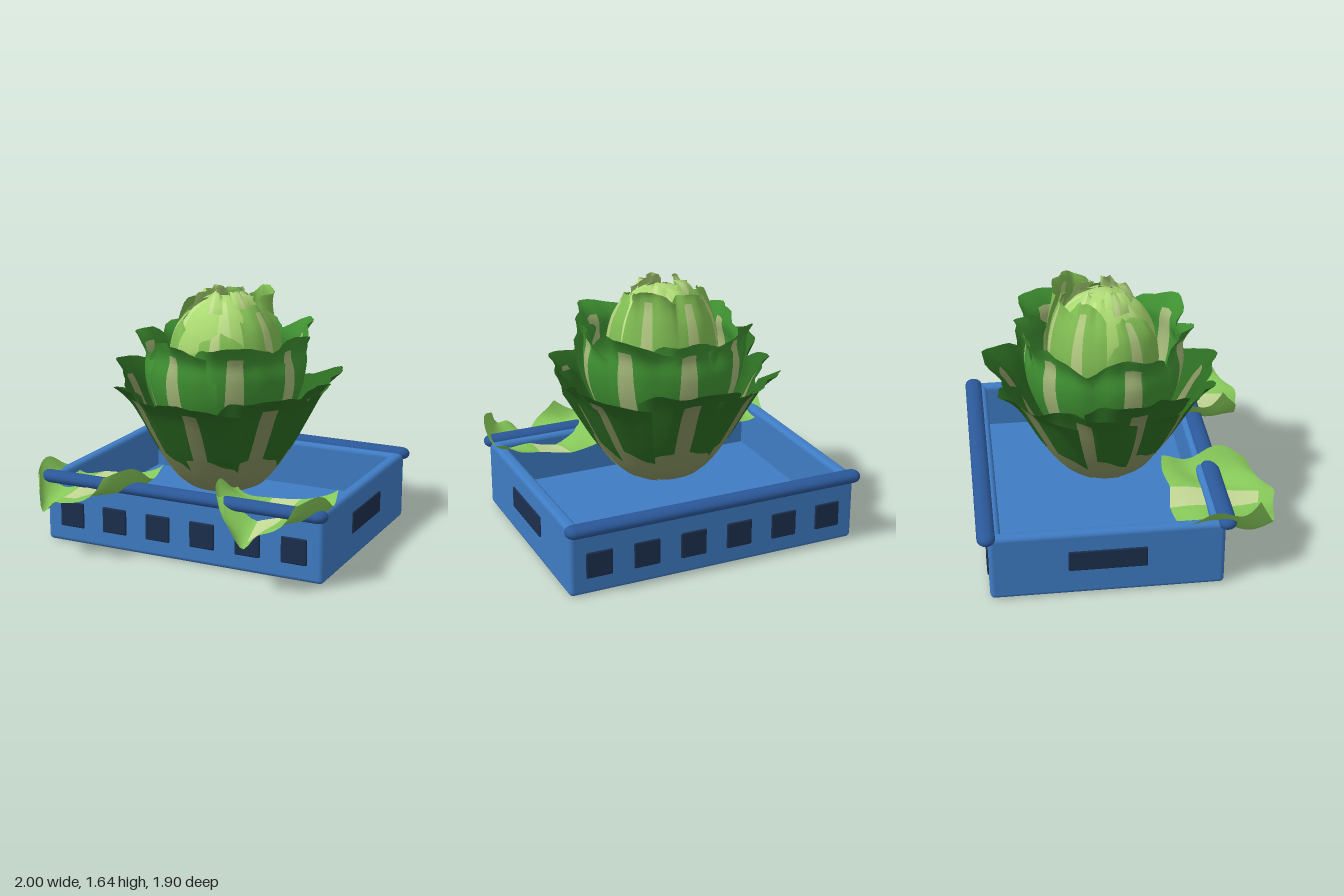
import * as THREE from 'three';
import { RoundedBoxGeometry } from 'three/addons/geometries/RoundedBoxGeometry.js';

const mat = (color, side = THREE.FrontSide) => new THREE.MeshStandardMaterial({ color, side });
const leafMats = (...colors) => colors.map((c) => mat(c, THREE.DoubleSide));

function add(parent, name, geometry, material, x = 0, y = 0, z = 0) {
  const mesh = new THREE.Mesh(geometry, material);
  mesh.name = name;
  mesh.position.set(x, y, z);
  parent.add(mesh);
  return mesh;
}

// Leaf surface from point(u, v), u across (-1..1), v from base to tip.
// Group 0 is the blade, group 1 the tapering midrib and the pale base.
function leafGeometry(point, { paleBase = 0, ribEnd = 0.86, ribBase = 0.25, ribTip = 0.13 } = {}) {
  const cols = 16, rows = 20, mid = cols / 2;
  const pos = [], blade = [], rib = [];
  for (let j = 0; j <= rows; j++) {
    const v = j / rows;
    const ribHalf = THREE.MathUtils.lerp(ribBase, ribTip, v);
    for (let i = 0; i <= cols; i++) {
      const k = Math.abs(i - mid);
      const s = k === 0 ? 0 : ribHalf + (1 - ribHalf) * (k - 1) / (mid - 1);
      pos.push(...point(Math.sign(i - mid) * s, v));
    }
  }
  for (let j = 0; j < rows; j++) {
    for (let i = 0; i < cols; i++) {
      const a = j * (cols + 1) + i, b = a + 1, c = a + cols + 1, d = c + 1;
      const v = (j + 0.5) / rows;
      const isRib = (i === mid || i === mid - 1) && v < ribEnd;
      (isRib || v < paleBase ? rib : blade).push(a, b, d, a, d, c);
    }
  }
  const g = new THREE.BufferGeometry();
  g.setAttribute('position', new THREE.Float32BufferAttribute(pos, 3));
  g.setIndex([...blade, ...rib]);
  g.addGroup(0, blade.length, 0);
  g.addGroup(blade.length, rib.length, 1);
  g.computeVertexNormals();
  return g;
}

// Ring of overlapping cupped leaves following a (radius, height) profile.
// Each leaf is [angle in degrees, rise of the tip, outward lean].
function leafRing(parent, name, o) {
  const profile = new THREE.SplineCurve(o.profile.map((p) => new THREE.Vector2(...p)));
  const ring = new THREE.Group();
  ring.name = name + 's';
  o.leaves.forEach(([degrees, rise = 0, lean = 0], n) => {
    const angle = THREE.MathUtils.degToRad(degrees);
    const point = (u, v) => {
      const edge = 1 - o.droop * Math.abs(u) ** 1.6 + 0.03 * Math.sin(9 * u + n * 1.7) * Math.abs(u);
      const p = profile.getPoint(Math.min(1, v * edge));
      const ruffle = o.ruffle * v ** 4 * (Math.sin(5 * u + n * 2.1) + 0.4 * Math.sin(12 * u + n));
      const r = p.x + ruffle + lean * v ** 4 * (1 - u * u) + o.twist * u * v + 0.012 * (n % 2) * v;
      const a = angle + u * o.half;
      return [Math.sin(a) * r, p.y + rise * v * v + 0.3 * ruffle * u, Math.cos(a) * r];
    };
    add(ring, name, leafGeometry(point, o), o.mats);
  });
  parent.add(ring);
}

function buildCrate(model) {
  const crate = new THREE.Group();
  crate.name = 'crate';
  crate.position.z = -0.155;
  model.add(crate);
  const blue = mat(0x3f7cc4), railBlue = mat(0x2b5899), dark = mat(0x1c2f4d);
  const W = 1.94, H = 0.45, D = 1.46, T = 0.08;

  add(crate, 'floor', new RoundedBoxGeometry(W, 0.14, D, 3, 0.035), blue, 0, 0.07);
  for (const s of [-1, 1]) {
    add(crate, 'longWall', new RoundedBoxGeometry(W, H, T, 3, 0.03), blue, 0, H / 2, s * (D - T) / 2);
    add(crate, 'sideWall', new RoundedBoxGeometry(T, H, D, 3, 0.03), blue, s * (W - T) / 2, H / 2, 0);
    add(crate, 'sideHandle', new RoundedBoxGeometry(0.03, 0.14, 0.49, 2, 0.008), dark, s * 0.965, 0.25, 0);
    // Rail along the rim
    const rail = new THREE.CapsuleGeometry(0.057, 1.886, 8, 20);
    rail.rotateZ(Math.PI / 2).scale(1, 0.72, 1);
    add(crate, 'rail', rail, railBlue, 0, 0.44, s * 0.74);
    // Row of vents
    for (let i = 0; i < 6; i++) {
      add(crate, 'vent', new RoundedBoxGeometry(0.172, 0.17, 0.03, 2, 0.01), dark,
        (i - 2.5) * 0.312, 0.195, s * 0.725);
    }
  }
}

function buildCabbage(model) {
  const head = new THREE.Group();
  head.name = 'cabbage';
  head.position.z = -0.07;
  model.add(head);

  const core = new THREE.SphereGeometry(0.31, 32, 24).scale(1, 1.2, 1);
  add(head, 'core', core, mat(0xb0d978), 0, 1.22, 0);

  leafRing(head, 'outerLeaf', {
    leaves: [[6, -0.04, 0.07], [52, 0, 0.03], [86, 0], [118, 0.02, 0.08], [172, 0.06, 0.08],
      [-143, 0.02, 0.09], [-108, 0], [-76, 0.08], [-38, -0.02, 0.05]],
    half: 0.56, droop: 0.2, ruffle: 0.03, twist: 0.03, paleBase: 0.46,
    profile: [[0.02, 0.28], [0.26, 0.37], [0.415, 0.57], [0.525, 0.78], [0.6, 0.95], [0.68, 1.07]],
    mats: leafMats(0x2c6b22, 0x85905f),
  });
  leafRing(head, 'middleLeaf', {
    leaves: [[-15, -0.02], [33, 0, 0.05], [82, 0], [130, 0.03, 0.05], [175, 0], [-138, 0], [-75, -0.02]],
    half: 0.62, droop: 0.22, ruffle: 0.03, twist: 0.03,
    profile: [[0.2, 0.5], [0.38, 0.73], [0.48, 0.96], [0.505, 1.13], [0.49, 1.26], [0.54, 1.38]],
    mats: leafMats(0x3f9132, 0xa3b878),
  });
  leafRing(head, 'innerLeaf', {
    leaves: [[15, -0.16], [80, -0.04], [140, 0.04, 0.12], [190, 0, 0.05], [-125, 0], [-60, -0.1]],
    half: 0.56, droop: 0.2, ruffle: 0.02, twist: 0.025,
    profile: [[0.22, 0.8], [0.33, 1.02], [0.355, 1.22], [0.32, 1.4], [0.26, 1.52], [0.21, 1.6]],
    mats: leafMats(0x7fbb52, 0xb4cc82),
  });
  // Pale leaves closing over the core
  leafRing(head, 'heartLeaf', {
    leaves: [[25], [100], [170], [-120], [-45]],
    half: 0.72, droop: 0.12, ruffle: 0.015, twist: 0.02,
    profile: [[0.28, 1.0], [0.325, 1.2], [0.305, 1.36], [0.23, 1.49], [0.14, 1.56], [0.06, 1.59]],
    mats: leafMats(0xa9d870, 0xbcdf88),
  });
  // Small curled tips at the crown
  leafRing(head, 'crownLeaf', {
    leaves: [[0], [65], [140], [-140], [-70]],
    half: 0.4, droop: 0.3, ruffle: 0.02, twist: 0.03,
    profile: [[0.22, 1.46], [0.19, 1.54], [0.15, 1.6], [0.11, 1.64]],
    mats: leafMats(0xb0dc78, 0xc6e094),
  });
}

// Loose leaves draped under the front rail; each sags at its own place across
function buildLooseLeaves(model) {
  const mats = leafMats(0x86c859, 0xc2d794);
  for (const [s, sag] of [[-1, -0.66], [1, -0.22]]) {
    const point = (u, v) => {
      // Broad rounded blade, squared off at the inner end
      const w = 0.37 * (0.92 + 0.08 * Math.sin(Math.PI * v)) * (1 - 0.33 * Math.max(0, 2 * v - 1) ** 2);
      const x = s * (0.605 + 0.04 * v) + w * u;
      const z = 0.28 + 0.66 * v - 0.14 * Math.abs(u) ** 3 * v + 0.015 * Math.sin(6 * u);
      const hollow = 0.12 * (0.15 + 0.85 * v) * Math.exp(-(((u - sag) / 0.32) ** 2));
      const curl = 0.17 * Math.abs(u) ** 5 * (0.35 + 0.65 * v);
      const wave = 0.04 * Math.sin(8 * v + 2 * u) * Math.abs(u);
      return [x, 0.425 - 0.02 * v - hollow + curl + wave, z];
    };
    add(model, s > 0 ? 'looseLeafLeft' : 'looseLeafRight',
      leafGeometry(point, { ribBase: 0.3, ribTip: 0.16 }), mats);
  }
}

export function createModel() {
  const model = new THREE.Group();
  model.name = 'cabbageCrate';
  buildCrate(model);
  buildCabbage(model);
  buildLooseLeaves(model);
  return model;
}
